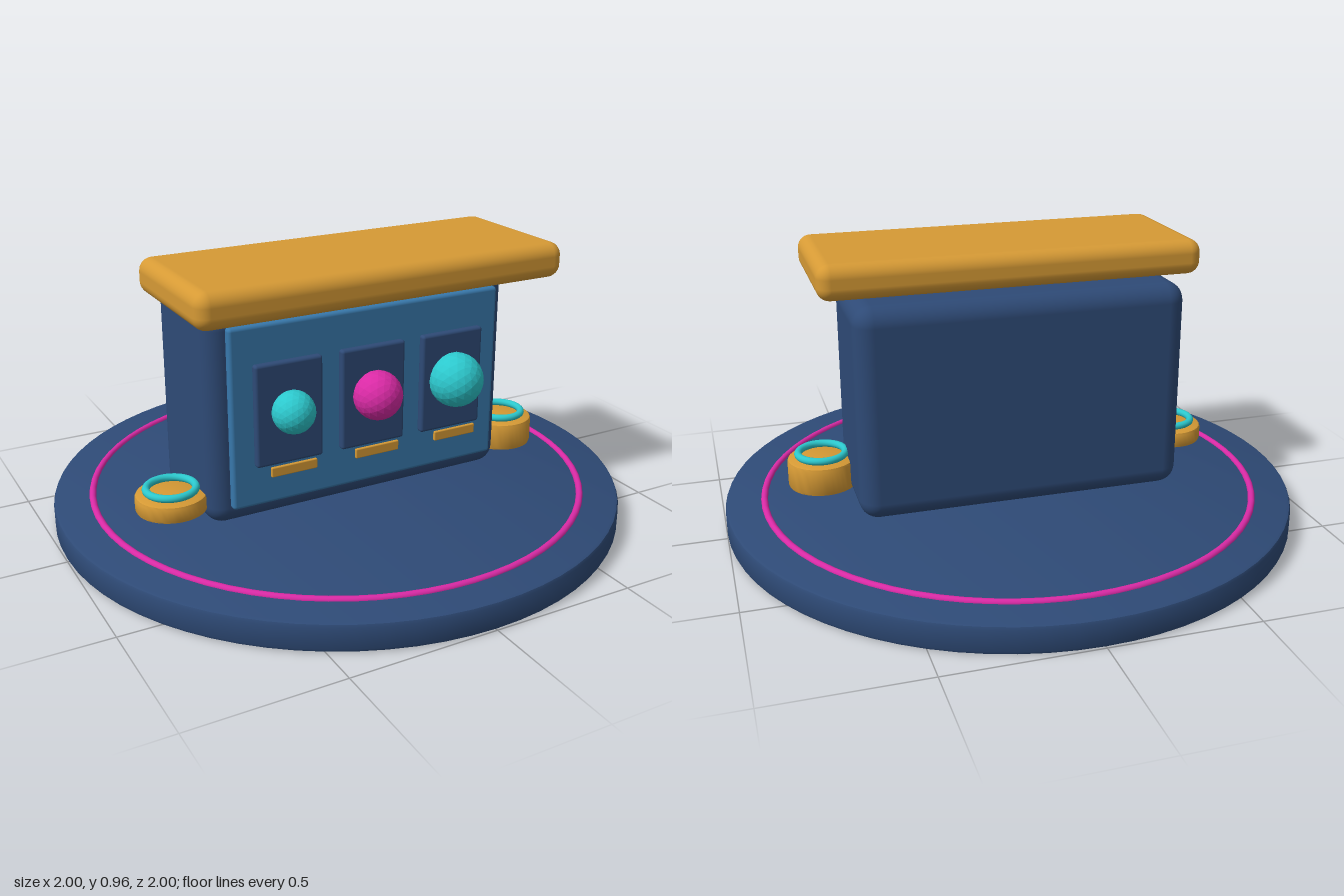
import * as THREE from 'three';
import { RoundedBoxGeometry } from 'three/addons/geometries/RoundedBoxGeometry.js';
import { toCreasedNormals } from 'three/addons/utils/BufferGeometryUtils.js';

const mat = (name, color) => {
  const m = new THREE.MeshStandardMaterial({ color });
  m.name = name;
  return m;
};

export function createModel() {
  const navy = mat('navy', 0x2e4a76);
  const blue = mat('panelBlue', 0x3878ab);
  const gold = mat('gold', 0xd69a35);
  const teal = mat('teal', 0x2cc8cd);
  const magenta = mat('magenta', 0xd92aa5);

  const model = new THREE.Group();
  model.name = 'displayKiosk';

  const add = (name, geometry, material, x, y, z) => {
    const mesh = new THREE.Mesh(geometry, material);
    mesh.name = name;
    mesh.position.set(x, y, z);
    model.add(mesh);
    return mesh;
  };
  const box = (w, h, d, r) => new RoundedBoxGeometry(w, h, d, 4, r);

  // Disc with bevelled rims, standing on y = 0
  const disc = (radius, height, bevel, sides) => toCreasedNormals(new THREE.LatheGeometry([
    [0, 0], [radius - bevel, 0], [radius - bevel * 0.3, bevel * 0.3], [radius, bevel],
    [radius, height - bevel], [radius - bevel * 0.3, height - bevel * 0.3],
    [radius - bevel, height], [0, height],
  ].map(([x, y]) => new THREE.Vector2(x, y)), sides), 0.6);

  const ring = (radius, tube) => new THREE.TorusGeometry(radius, tube, 12, 72).rotateX(Math.PI / 2);

  // Round platform with its inlaid ring
  add('platform', disc(1, 0.096, 0.013, 72), navy, 0, 0, 0);
  add('platformRing', ring(0.867, 0.012), magenta, 0, 0.095, 0);

  // Booth, front panel and overhanging canopy
  add('boothBody', box(1.14, 0.74, 0.43, 0.065), navy, 0, 0.468, -0.015);
  add('frontPanel', box(1.01, 0.62, 0.034, 0.012), blue, 0, 0.48, 0.22);
  add('canopy', box(1.33, 0.122, 0.525, 0.045), gold, 0, 0.899, 0.13);

  // Three display cards, each with a faceted orb and a small label
  const displays = [
    { x: -0.31, r: 0.072, material: teal },
    { x: 0, r: 0.084, material: magenta },
    { x: 0.31, r: 0.095, material: teal },
  ];
  for (const { x, r, material } of displays) {
    add('displayCard', box(0.24, 0.35, 0.03, 0.01), navy, x, 0.49, 0.25);
    const orb = new THREE.IcosahedronGeometry(r, 3);
    orb.computeVertexNormals();
    add('orb', orb, material, x, 0.5, 0.29);
    add('cardLabel', box(0.165, 0.034, 0.012, 0.004), gold, x, 0.305, 0.288);
  }

  // Side pedestals topped by rings, at slightly different heights
  for (const [x, y, h] of [[-0.66, 0.15, 0.06], [0.656, 0.13, 0.102]]) {
    add('pedestal', disc(0.12, h, 0.01, 40), gold, x, y, 0.08);
    add('pedestalRing', ring(0.082, 0.013), teal, x, y + h + 0.014, 0.08);
  }

  return model;
}
